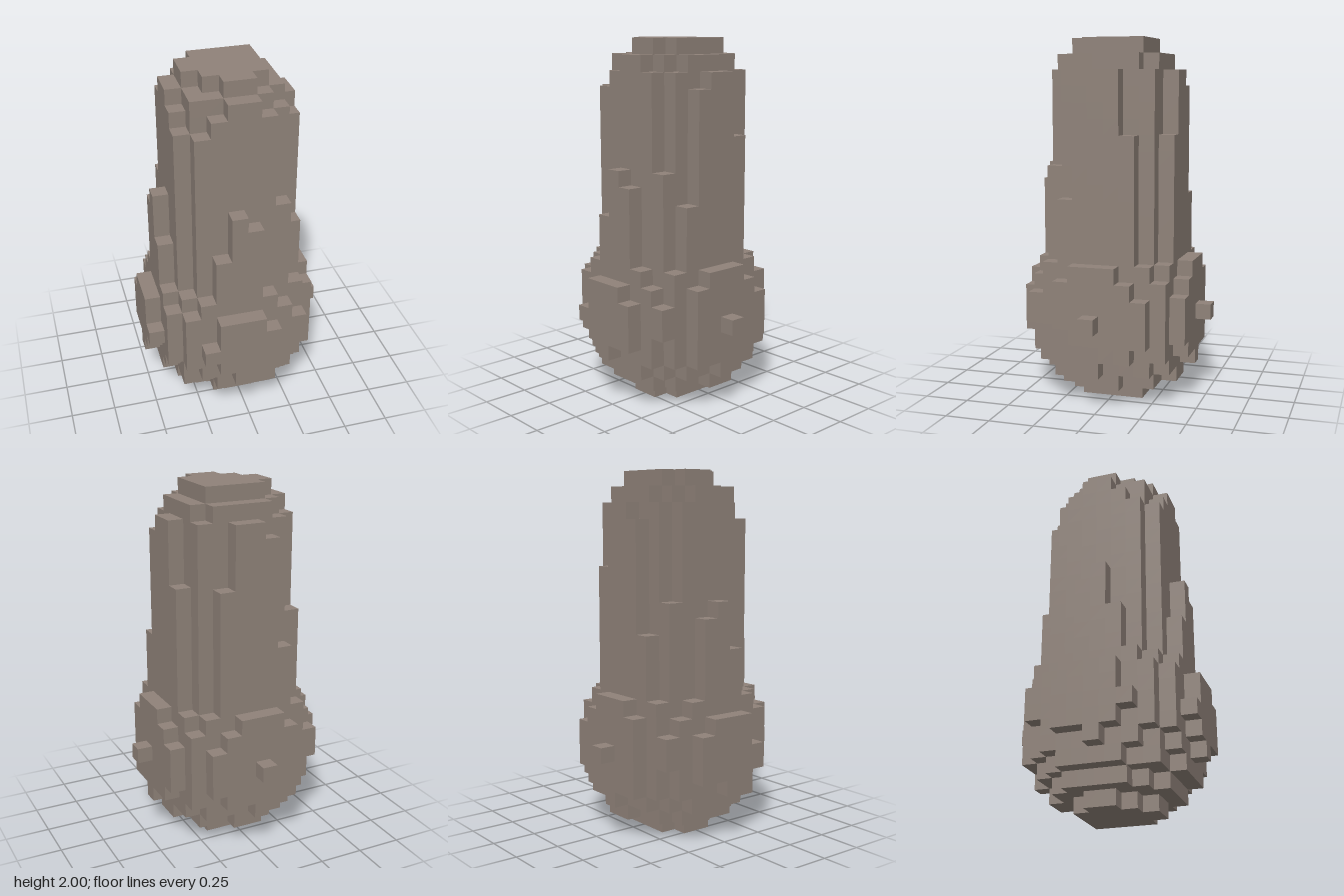
import * as THREE from 'three';
import { mergeGeometries } from 'three/addons/utils/BufferGeometryUtils.js';

const LAYERS = 23;            // blocks over the full height
const U = 2 / LAYERS;         // edge of one block
const CX = -0.23, CZ = 0.23;  // axis, slightly off the block grid
const BULB_Y = 5.7, BULB_R2 = 33.05;
const SHAFT_TOP = 21;

// Squared radius (in blocks) at height y: round bulb, tapering shaft, rounded cap
function radiusSquared(y) {
  if (y > 22) return 2.53 ** 2;
  if (y > SHAFT_TOP) return 3.43 ** 2;
  const bulb = BULB_R2 - (y - BULB_Y) ** 2;
  const shaft = y > BULB_Y ? (4.285 - 0.06 * (y - 14.5)) ** 2 : 0;
  return Math.max(bulb, shaft);
}

// Is the block with lowest corner (i, j, k) solid?
function solid(i, j, k) {
  if (j < 0 || j >= LAYERS) return false;
  const dx = i + 0.5 - CX, dz = k + 0.5 - CZ;
  return dx * dx + dz * dz <= radiusSquared(j + 0.5);
}

// One outward square for each of the six block sides
function makeSides() {
  const side = (n, rx, ry) => ({
    n,
    geometry: new THREE.PlaneGeometry(U, U)
      .rotateX(rx).rotateY(ry)
      .translate(n[0] * U / 2, n[1] * U / 2, n[2] * U / 2),
  });
  const q = Math.PI / 2;
  return [
    side([1, 0, 0], 0, q), side([-1, 0, 0], 0, -q),
    side([0, 1, 0], -q, 0), side([0, -1, 0], q, 0),
    side([0, 0, 1], 0, 0), side([0, 0, -1], 0, 2 * q),
  ];
}

// Exposed block sides of the layers from..to
function blockLayers(from, to, sides) {
  const faces = [];
  for (let j = from; j < to; j++)
    for (let i = -7; i < 7; i++)
      for (let k = -7; k < 7; k++) {
        if (!solid(i, j, k)) continue;
        for (const { n, geometry } of sides) {
          if (solid(i + n[0], j + n[1], k + n[2])) continue;
          faces.push(geometry.clone().translate((i + 0.5) * U, (j + 0.5) * U, (k + 0.5) * U));
        }
      }
  return mergeGeometries(faces);
}

export function createModel() {
  const group = new THREE.Group();
  group.name = 'blockyPillar';
  const stone = new THREE.MeshStandardMaterial({ color: 0x8f8279 });
  stone.name = 'warmGreyStone';
  const sides = makeSides();

  const parts = [['roundBase', 0, 9], ['taperedShaft', 9, SHAFT_TOP], ['roundedCap', SHAFT_TOP, LAYERS]];
  for (const [name, from, to] of parts) {
    const mesh = new THREE.Mesh(blockLayers(from, to, sides), stone);
    mesh.name = name;
    group.add(mesh);
  }
  return group;
}
